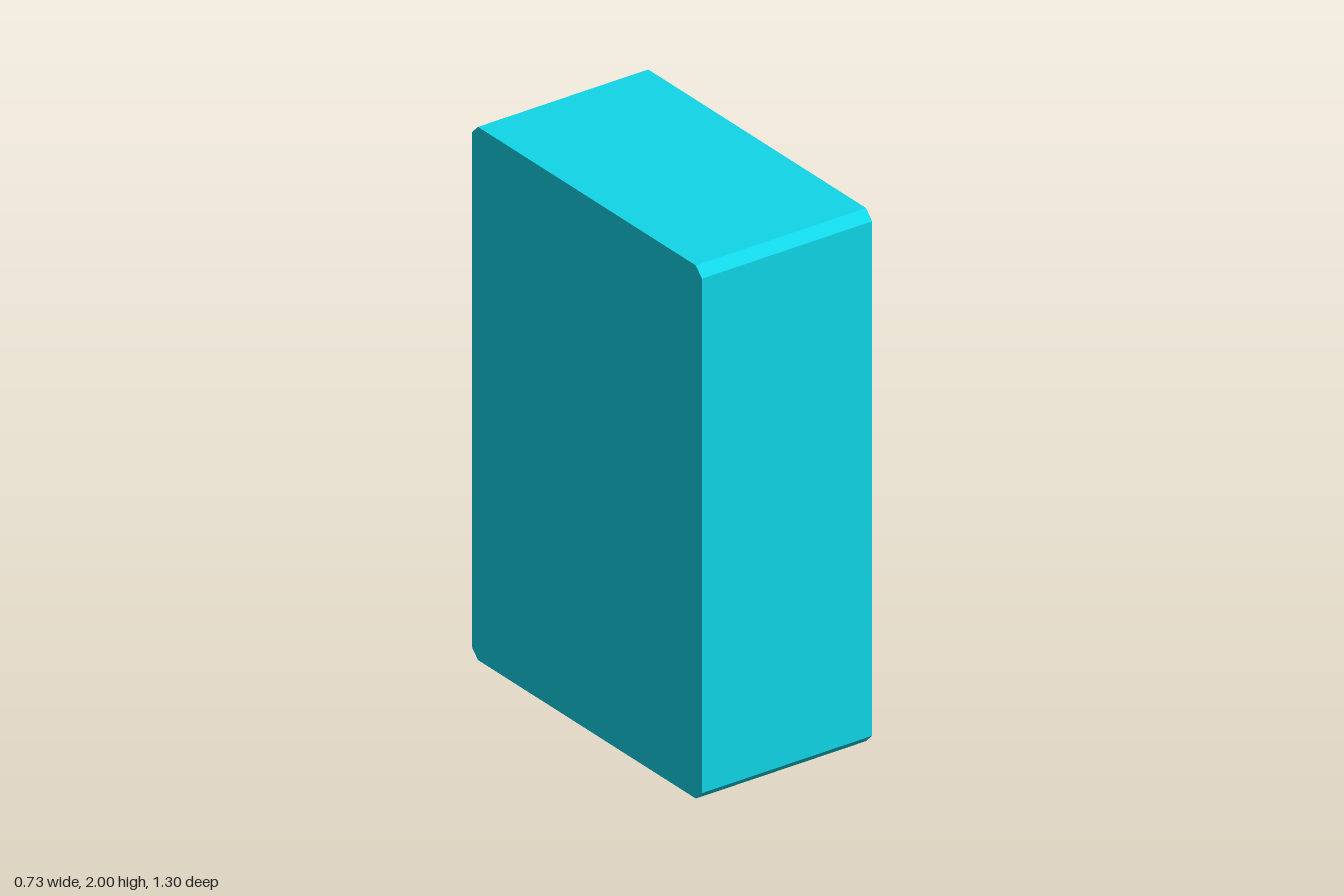
import * as THREE from 'three';

const mat = (color, side = THREE.FrontSide) =>
  new THREE.MeshStandardMaterial({ color, side, flatShading: true });

export function createModel() {
  const model = new THREE.Group();
  const cyan = mat(0x10d6e8), blue = mat(0x0f52e9), yellow = mat(0xd8d010), grey = mat(0xcccccc);

  const add = (name, geometry, material) => {
    const mesh = new THREE.Mesh(geometry, material);
    mesh.name = name;
    model.add(mesh);
    return mesh;
  };

  // Box given by its limits on each axis
  const box = (name, material, x0, x1, y0, y1, z0, z1) => {
    const g = new THREE.BoxGeometry(x1 - x0, y1 - y0, z1 - z0);
    g.translate((x0 + x1) / 2, (y0 + y1) / 2, (z0 + z1) / 2);
    return add(name, g, material);
  };

  // Chamfered cabinet outline with rectangular holes [halfWidth, y0, y1], extruded along x
  const slab = (name, materials, x0, x1, holes = []) => {
    const w = 0.65, h = 2, c = 0.035;
    const points = (list) => list.map(([u, v]) => new THREE.Vector2(u, v));
    const shape = new THREE.Shape(points([
      [-w + c, 0], [w - c, 0], [w, c], [w, h - c], [w - c, h], [-w + c, h], [-w, h - c], [-w, c],
    ]));
    for (const [a, y0, y1] of holes)
      shape.holes.push(new THREE.Path(points([[-a, y0], [-a, y1], [a, y1], [a, y0]])));
    const g = new THREE.ExtrudeGeometry(shape, { depth: x1 - x0, bevelEnabled: false });
    g.rotateY(Math.PI / 2).translate(x0, 0, 0);
    return add(name, g, materials);
  };

  // Cabinet: solid rear, hollow middle, coloured front face
  slab('cabinetRear', cyan, -0.37, -0.15);
  slab('cabinetSurround', cyan, -0.15, 0.326, [[0.605, 0.5, 1.915], [0.59, 0.18, 0.46]]);
  slab('frontPanel', [blue, cyan], 0.326, 0.33, [[0.59, 0.92, 1.9], [0.59, 0.18, 0.46]]);

  // Display compartment lining, open at the bottom
  box('compartmentBack', grey, -0.15, -0.14, 0.945, 1.9, -0.6, 0.6);
  box('compartmentCeiling', grey, -0.15, 0.326, 1.9, 1.912, -0.6, 0.6);
  for (const s of [-1, 1])
    box('compartmentSide', grey, -0.15, 0.326, 0.945, 1.9,
      Math.min(s * 0.59, s * 0.602), Math.max(s * 0.59, s * 0.602));

  // Shelves, each with a front rail and a row of buttons
  const levels = [
    { y0: 1.592, y1: 1.637, front: 0.345, shelf: cyan },
    { y0: 1.245, y1: 1.291, front: 0.345, shelf: grey },
    { y0: 0.89, y1: 0.955, front: 0.352, shelf: grey },
  ];
  for (const { y0, y1, front, shelf } of levels) {
    const mid = (y0 + y1) / 2;
    box('shelf', shelf, -0.14, 0.14, mid - 0.022, mid + 0.022, -0.59, 0.59);
    box('shelfRail', cyan, 0.295, front, y0, y1, -0.587, 0.587);
    for (let i = -2; i <= 2; i++) {
      const z = i * 0.208;
      box('button', yellow, front - 0.005, 0.362, mid - 0.016, mid + 0.016, z - 0.034, z + 0.034);
    }
  }

  // Pickup tray: bevelled rim, rising floor and a flap leaning inward at its foot
  // Each section: half width, bottom [x, y], top [x, y]
  const sections = [
    [0.59, [0.33, 0.18], [0.33, 0.46]],
    [0.555, [0.3, 0.205], [0.3, 0.435]],
    [0.555, [0.15, 0.25], [0.285, 0.43]],
  ];
  const positions = [], index = [];
  for (const [w, b, t] of sections)
    positions.push(...b, w, ...b, -w, ...t, -w, ...t, w);
  for (let s = 0; s < 2; s++)
    for (let i = 0; i < 4; i++) {
      const a = s * 4 + i, b = s * 4 + (i + 1) % 4;
      index.push(a, b, b + 4, a, b + 4, a + 4);
    }
  index.push(8, 9, 10, 8, 10, 11);
  let tray = new THREE.BufferGeometry();
  tray.setAttribute('position', new THREE.Float32BufferAttribute(positions, 3));
  tray.setIndex(index);
  tray = tray.toNonIndexed();
  tray.computeVertexNormals();
  add('pickupTray', tray, mat(0x10d6e8, THREE.DoubleSide));

  return model;
}
